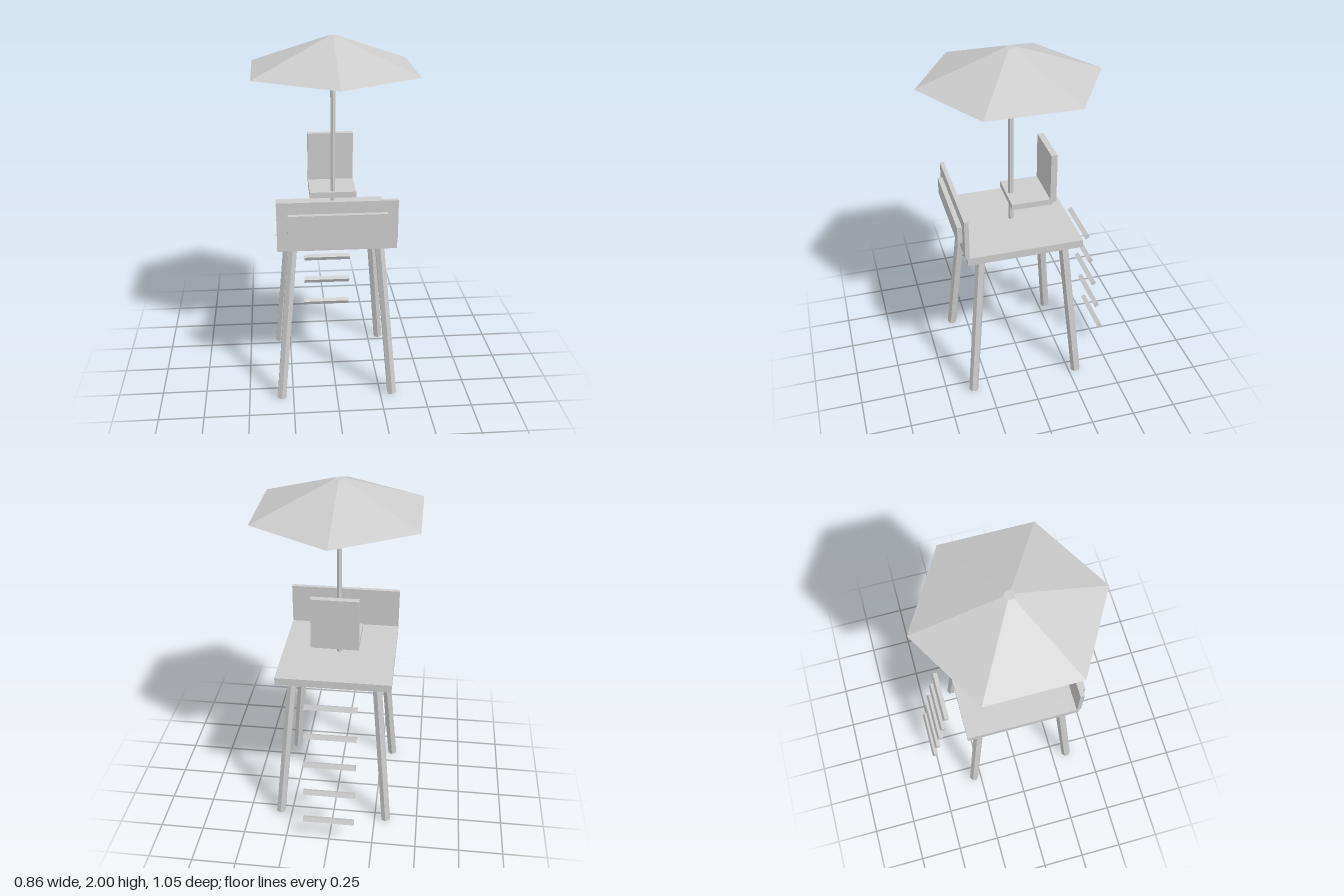
import * as THREE from 'three';

export function createModel() {
  const model = new THREE.Group();
  model.name = 'lifeguardTower';
  const grey = new THREE.MeshStandardMaterial({ color: 0xcccccc, flatShading: true });
  grey.name = 'light grey';

  const add = (name, geometry, x = 0, y = 0, z = 0) => {
    const mesh = new THREE.Mesh(geometry, grey);
    mesh.name = name;
    mesh.position.set(x, y, z);
    model.add(mesh);
    return mesh;
  };
  // Box given by its width (centred on x = 0) and its y and z ranges
  const slab = (name, w, y0, y1, z0, z1) =>
    add(name, new THREE.BoxGeometry(w, y1 - y0, z1 - z0), 0, (y0 + y1) / 2, (z0 + z1) / 2);

  const midZ = 0.025;

  // Deck, front rail and its sign board
  slab('deck', 0.64, 0.925, 0.97, -0.297, 0.35);
  slab('frontRail', 0.64, 0.97, 1.205, 0.338, 0.362);
  slab('signBoard', 0.526, 1.037, 1.14, 0.36, 0.389);

  // Chair
  slab('seat', 0.26, 1.107, 1.14, -0.177, 0.053);
  slab('seatBack', 0.26, 1.12, 1.415, -0.2, -0.165);

  // Umbrella with six sides
  add('umbrellaPole', new THREE.CylinderGeometry(0.015, 0.015, 0.87, 6), 0, 1.4, midZ);
  add('umbrellaCanopy', new THREE.CylinderGeometry(0.028, 0.497, 0.172, 6), 0, 1.914, midZ);

  // Splayed legs
  const up = new THREE.Vector3(0, 1, 0);
  for (const sx of [-1, 1]) {
    for (const sz of [-1, 1]) {
      const foot = new THREE.Vector3(sx * 0.317, 0.004, midZ + sz * 0.319);
      const head = new THREE.Vector3(sx * 0.235, 0.93, midZ + sz * 0.234);
      const axis = head.clone().sub(foot);
      const leg = add('leg', new THREE.CylinderGeometry(0.028, 0.028, axis.length(), 6));
      leg.position.addVectors(foot, head).multiplyScalar(0.5);
      leg.quaternion.setFromUnitVectors(up, axis.normalize());
    }
  }

  // Ladder rungs leaning away at the back
  for (let i = 0; i < 5; i++) {
    const rung = add('ladderRung', new THREE.BoxGeometry(0.292, 0.028, 0.028),
      0, 0.153 + i * 0.176, -0.505 + i * 0.0295);
    rung.rotation.x = 0.47;
  }

  return model;
}
